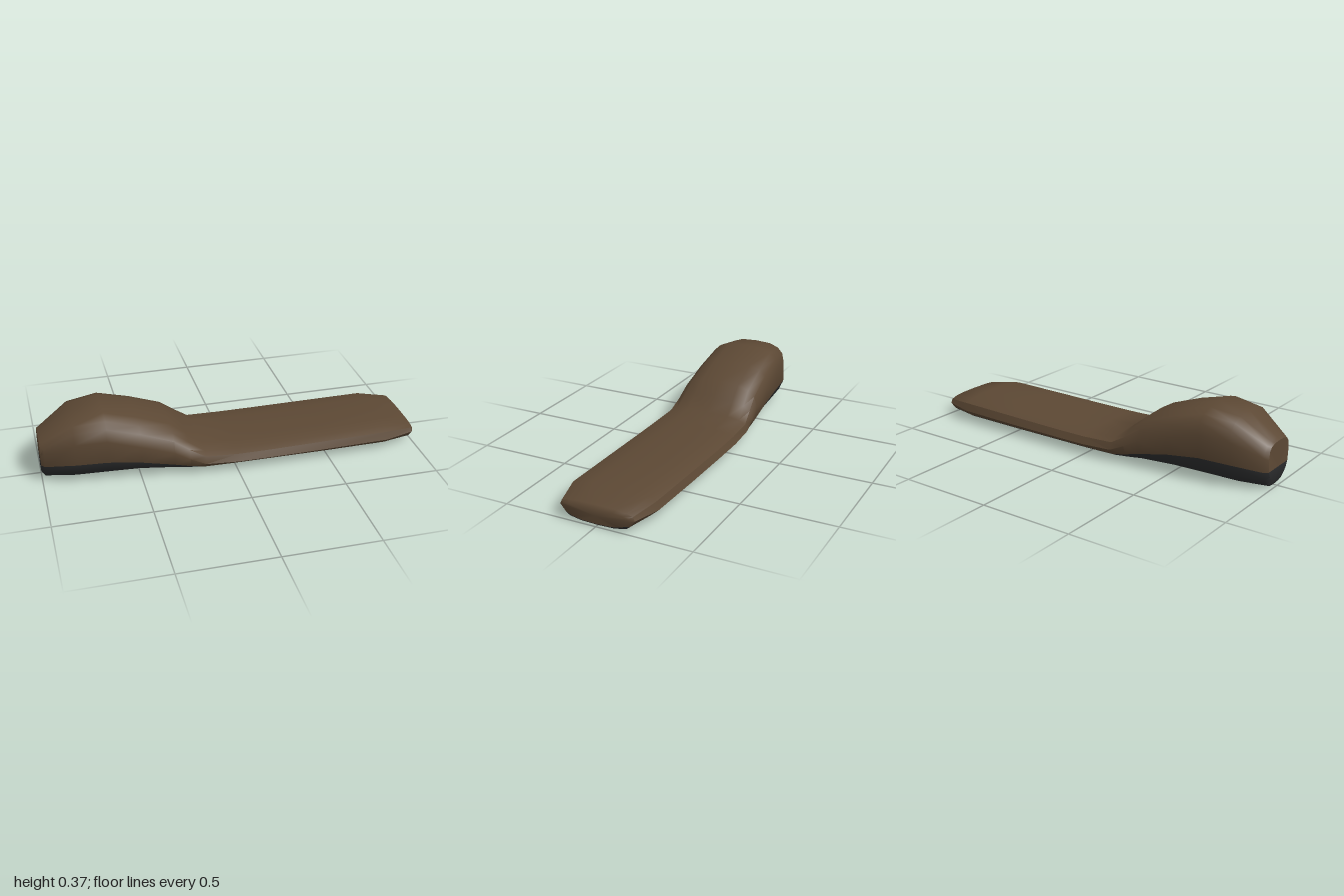
import * as THREE from 'three';
import { toCreasedNormals } from 'three/addons/utils/BufferGeometryUtils.js';

// Stations along the seat: x, top y, floor y, shoulder half width, shoulder drop,
// side half width and y, seam half width and y, underside half width
const STATIONS = [
  [-1.0, 0.237, 0.03, 0.095, 0.03, 0.102, 0.165, 0.096, 0.10, 0.06],
  [-0.982, 0.25, 0.004, 0.11, 0.045, 0.121, 0.175, 0.115, 0.10, 0.072],
  [-0.83, 0.35, 0, 0.168, 0.055, 0.18, 0.24, 0.181, 0.125, 0.11],
  [-0.67, 0.369, 0, 0.191, 0.055, 0.203, 0.25, 0.202, 0.13, 0.12],
  [-0.5, 0.322, 0, 0.2, 0.055, 0.215, 0.2, 0.212, 0.11, 0.126],
  [-0.33, 0.26, 0, 0.208, 0.057, 0.225, 0.145, 0.219, 0.075, 0.134],
  [-0.25, 0.195, 0, 0.216, 0.047, 0.233, 0.102, 0.216, 0.052, 0.142],
  [-0.17, 0.131, 0, 0.227, 0.028, 0.24, 0.066, 0.204, 0.03, 0.152],
  [0, 0.121, 0, 0.232, 0.024, 0.248, 0.06, 0.2, 0.025, 0.166],
  [0.17, 0.121, 0, 0.232, 0.024, 0.248, 0.06, 0.2, 0.025, 0.166],
  [0.5, 0.126, 0, 0.23, 0.025, 0.245, 0.061, 0.2, 0.025, 0.166],
  [0.83, 0.131, 0, 0.227, 0.026, 0.24, 0.064, 0.198, 0.027, 0.163],
  [0.985, 0.106, 0.003, 0.19, 0.017, 0.2, 0.068, 0.17, 0.032, 0.14],
  [0.998, 0.091, 0.014, 0.172, 0.012, 0.179, 0.066, 0.15, 0.036, 0.124],
];
const HALF = 9;
const RING = HALF * 2;
const SEAM = 5;

// Closed cross-section: top centre, down the +z side, under, and up the -z side
function section([x, top, floor, w3, drop, w4, y4, w5, y5, w7]) {
  const low = floor + 0.008 + (y5 - floor) * 0.15;
  const half = [
    [0, top], [w3 * 0.53, top - drop * 0.09], [w3 * 0.83, top - drop * 0.44], [w3, top - drop],
    [w4, y4], [w5, y5],
    [w7 + (w5 - w7) * 0.62, low + (y5 - low) * 0.4], [w7, low], [w7 * 0.63, floor + 0.003], [0, floor],
  ];
  const mirrored = half.slice(1, HALF).reverse().map(([z, y]) => [-z, y]);
  return [...half, ...mirrored].map(([z, y]) => [x, y, z]);
}

export function createModel() {
  const leather = new THREE.MeshStandardMaterial({ color: 0x5c4834 });
  leather.name = 'brown leather';
  const plastic = new THREE.MeshStandardMaterial({ color: 0x2b2c2d });
  plastic.name = 'dark base';

  const rings = STATIONS.map(section);
  const upper = [];
  const lower = [];
  const isUpper = (j) => j < SEAM || j >= RING - SEAM;
  const add = (list, ...points) => points.forEach((p) => list.push(...p));

  // Skin between neighbouring sections, with diagonals mirrored left to right
  for (let i = 0; i < rings.length - 1; i++) {
    for (let j = 0; j < RING; j++) {
      const k = (j + 1) % RING;
      const [a, b, c, d] = [rings[i][j], rings[i][k], rings[i + 1][k], rings[i + 1][j]];
      const list = isUpper(j) ? upper : lower;
      if (j < HALF) add(list, a, b, d, b, c, d);
      else add(list, a, b, c, a, c, d);
    }
  }

  // End caps
  const back = rings[0];
  const front = rings[rings.length - 1];
  for (let j = 0; j < RING; j++) {
    const k = (j + 1) % RING;
    add(isUpper(j) ? upper : lower, [-1, 0.1, 0], back[k], back[j]);
    add(upper, [1, 0.056, 0], front[j], front[k]);
  }

  // Shade the whole shell together so the seam stays smooth, then split it by colour
  const shell = new THREE.BufferGeometry();
  shell.setAttribute('position', new THREE.Float32BufferAttribute([...upper, ...lower], 3));
  const shaded = toCreasedNormals(shell, THREE.MathUtils.degToRad(42));

  const group = new THREE.Group();
  group.name = 'seat';
  const addPart = (name, material, start, end) => {
    const geometry = new THREE.BufferGeometry();
    for (const key of ['position', 'normal']) {
      const values = shaded.attributes[key].array.slice(start, end);
      geometry.setAttribute(key, new THREE.BufferAttribute(values, 3));
    }
    const mesh = new THREE.Mesh(geometry, material);
    mesh.name = name;
    group.add(mesh);
  };
  addPart('cushion', leather, 0, upper.length);
  addPart('seatBase', plastic, upper.length, upper.length + lower.length);
  return group;
}
